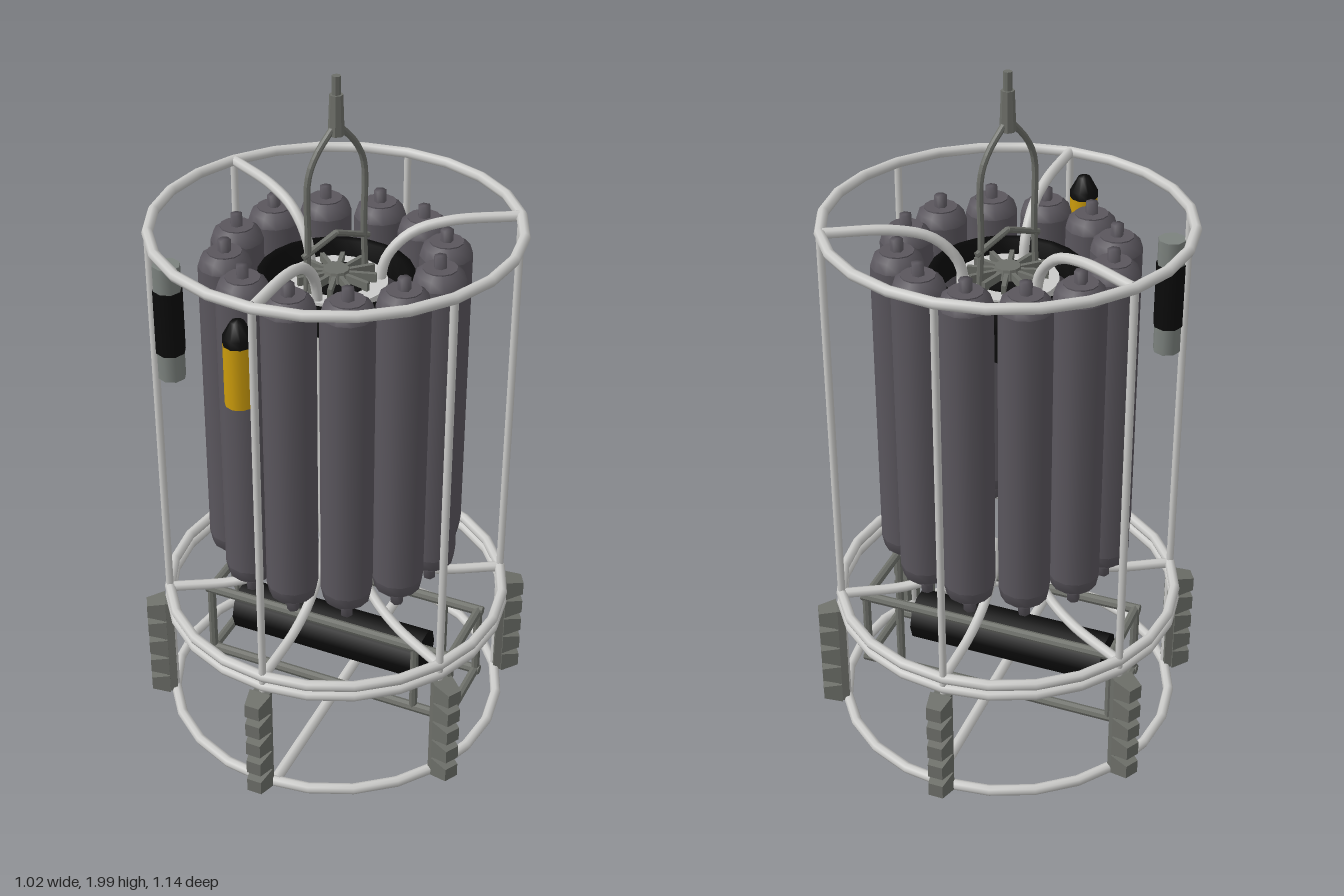
import * as THREE from 'three';

const mat = (name, color, opts = {}) => {
  const m = new THREE.MeshStandardMaterial({ color, ...opts });
  m.name = name;
  return m;
};

export function createModel() {
  const root = new THREE.Group();
  root.name = 'waterSampler';
  const white = mat('whitePaint', 0xcbcbc9);
  const slate = mat('bottleGrey', 0x5a565d);
  const steel = mat('dullSteel', 0x6d6f69, { flatShading: true });
  const pale = mat('paleGrey', 0x7c827e);
  const black = mat('black', 0x0b0b0b);
  const yellow = mat('yellow', 0xcc9c0c);

  const add = (parent, name, geo, material, x = 0, y = 0, z = 0) => {
    const m = new THREE.Mesh(geo, material);
    m.name = name;
    m.position.set(x, y, z);
    parent.add(m);
    return m;
  };
  const V = (x, y, z) => new THREE.Vector3(x, y, z);
  // Straight round bar between two points
  const bar = (parent, name, a, b, r, material, sides = 8) => {
    const d = b.clone().sub(a);
    const m = add(parent, name, new THREE.CylinderGeometry(r, r, d.length(), sides), material);
    m.position.copy(a).add(b).multiplyScalar(0.5);
    m.quaternion.setFromUnitVectors(V(0, 1, 0), d.normalize());
    return m;
  };
  const tube = (parent, name, pts, r, material) => add(parent, name,
    new THREE.TubeGeometry(new THREE.CatmullRomCurve3(pts), 20, r, 8), material);
  const lathe = (pts, sides) =>
    new THREE.LatheGeometry(pts.map(p => new THREE.Vector2(...p)), sides);

  // Hoops of the cage
  for (const [name, y] of [['topRing', 1.585], ['middleRingUpper', 0.412], ['middleRingLower', 0.378], ['bottomRing', 0.022]]) {
    const ring = add(root, name, new THREE.TorusGeometry(0.497, 0.0155, 8, 24), white, 0, y);
    ring.rotation.x = Math.PI / 2;
  }

  // Six sectors: upright, curved stay and block stack
  for (let i = 0; i < 6; i++) {
    const sector = new THREE.Group();
    sector.name = 'cageSector';
    sector.rotation.y = i * Math.PI / 3;
    root.add(sector);
    bar(sector, 'upright', V(0, 0.02, 0.497), V(0, 1.585, 0.497), 0.011, white);
    tube(sector, 'lowerStay', [V(0, 0.41, 0.49), V(0, 0.415, 0.3), V(0, 0.45, 0.19), V(0, 0.52, 0.11), V(0, 0.62, 0.085)], 0.015, white);
    if (i % 2 === 0) {
      tube(sector, 'upperStay', [V(0, 1.585, 0.49), V(0, 1.58, 0.3), V(0, 1.55, 0.2), V(0, 1.48, 0.135), V(0, 1.38, 0.115)], 0.015, white);
      bar(sector, 'innerPole', V(0, 0.6, 0.086), V(0, 1.4, 0.115), 0.014, white);
    }
    add(sector, 'blockRail', new THREE.BoxGeometry(0.05, 0.34, 0.03), steel, 0, 0.192, 0.507);
    for (let k = 0; k < 5; k++) {
      const geo = new THREE.CylinderGeometry(0.031, 0.046, 0.055, 4);
      geo.rotateY(Math.PI / 4).rotateX(Math.PI / 2);
      add(sector, 'ballastBlock', geo, steel, 0, 0.055 + k * 0.07, 0.542);
    }
  }
  bar(root, 'bottomCrossbar', V(0.03, 0.025, 0.49), V(0.03, 0.025, -0.49), 0.017, white);

  // Twelve sampling bottles with end caps and nozzles
  const body = lathe([[0.046, 0.56], [0.066, 0.575], [0.073, 0.61]], 12);
  const wall = new THREE.CylinderGeometry(0.073, 0.073, 0.87, 12, 1, true);
  const cap = lathe([[0.073, 1.48], [0.064, 1.507], [0.042, 1.522]], 12);
  const disc = new THREE.CylinderGeometry(0.047, 0.047, 0.01, 12);
  const nozzle = lathe([[0, -0.025], [0.018, -0.025], [0.018, 0.01], [0.024, 0.014], [0.024, 0.025], [0, 0.025]], 6);
  for (let i = 0; i < 12; i++) {
    const bottle = new THREE.Group();
    bottle.name = 'sampleBottle';
    const a = i * Math.PI / 6;
    bottle.position.set(0.297 * Math.sin(a), 0, 0.297 * Math.cos(a));
    bottle.rotation.y = a;
    root.add(bottle);
    add(bottle, 'bottleBase', body, slate);
    add(bottle, 'bottleWall', wall, slate, 0, 1.045);
    add(bottle, 'bottleShoulder', cap, slate);
    add(bottle, 'lowerLid', disc, slate, 0, 0.563);
    add(bottle, 'upperLid', disc, slate, 0, 1.517);
    add(bottle, 'lowerNozzle', nozzle, slate, 0, 0.533);
    add(bottle, 'upperNozzle', nozzle, slate, 0, 1.53).rotation.x = Math.PI;
  }

  // Black band holding the bottles
  add(root, 'bottleBand', lathe([[0.19, 1.36], [0.215, 1.36], [0.215, 1.44], [0.19, 1.44], [0.19, 1.36]], 24), black);

  // Release carousel
  add(root, 'carouselDisc', new THREE.CylinderGeometry(0.14, 0.14, 0.03, 24), white, 0, 1.405);
  add(root, 'carouselWell', new THREE.CylinderGeometry(0.092, 0.092, 0.008, 24), black, 0, 1.422);
  add(root, 'carouselHub', new THREE.CylinderGeometry(0.035, 0.045, 0.04, 12), steel, 0, 1.435);
  add(root, 'carouselBody', new THREE.CylinderGeometry(0.075, 0.075, 0.2, 16), black, 0, 1.29);
  for (let i = 0; i < 12; i++) {
    const hook = new THREE.BoxGeometry(0.012, 0.025, 0.08);
    hook.translate(0, 0, 0.07);
    add(root, 'releaseHook', hook, steel, 0, 1.435).rotation.y = (i + 0.5) * Math.PI / 6;
  }

  // Lifting bail, turned off the main axis
  const bail = new THREE.Group();
  bail.name = 'liftingBail';
  bail.rotation.y = Math.PI - 0.48;
  root.add(bail);
  for (const s of [-1, 1]) {
    tube(bail, 'bailLeg', [V(0, 1.42, s * 0.1), V(0, 1.56, s * 0.094), V(0, 1.74, s * 0.092), V(0, 1.8, s * 0.065), V(0, 1.86, s * 0.012)], 0.009, steel);
    bar(bail, 'bailBrace', V(0, 1.52, s * 0.11), V(0, 1.56, 0), 0.009, steel);
  }
  add(bail, 'liftingSocket', new THREE.CylinderGeometry(0.018, 0.022, 0.11, 8), steel, 0, 1.895);
  add(bail, 'liftingPin', new THREE.CylinderGeometry(0.012, 0.012, 0.06, 8), steel, 0, 1.97);

  // Instrument frame in the base
  const xs = [-0.37, 0.41], zs = [-0.13, 0.106], ys = [0.09, 0.32];
  for (const z of zs) {
    for (const y of ys) bar(root, 'frameRail', V(xs[0] - 0.014, y, z), V(xs[1] + 0.014, y, z), 0.015, steel);
    for (const x of [...xs, 0.3]) bar(root, 'framePost', V(x, ys[0], z), V(x, ys[1], z), 0.013, steel);
  }
  for (const x of xs)
    for (const y of ys) bar(root, 'frameEnd', V(x, y, zs[0]), V(x, y, zs[1]), 0.014, steel);
  bar(root, 'instrumentHousing', V(-0.32, 0.2, -0.005), V(0.29, 0.2, -0.005), 0.077, black, 10);

  // Yellow beacon with black tip
  add(root, 'beaconBody', new THREE.CylinderGeometry(0.04, 0.04, 0.175, 10), yellow, -0.052, 1.375, 0.475);
  add(root, 'beaconTip', lathe([[0.04, 1.462], [0.04, 1.485], [0.018, 1.525], [0, 1.53]], 10), black, -0.052, 0, 0.475);

  // Grey transmitter with black sleeve
  add(root, 'transmitter', new THREE.CylinderGeometry(0.039, 0.039, 0.345, 8), pale, -0.387, 1.322, 0.236);
  add(root, 'transmitterSleeve', new THREE.CylinderGeometry(0.042, 0.042, 0.19, 8), black, -0.387, 1.325, 0.236);

  return root;
}
